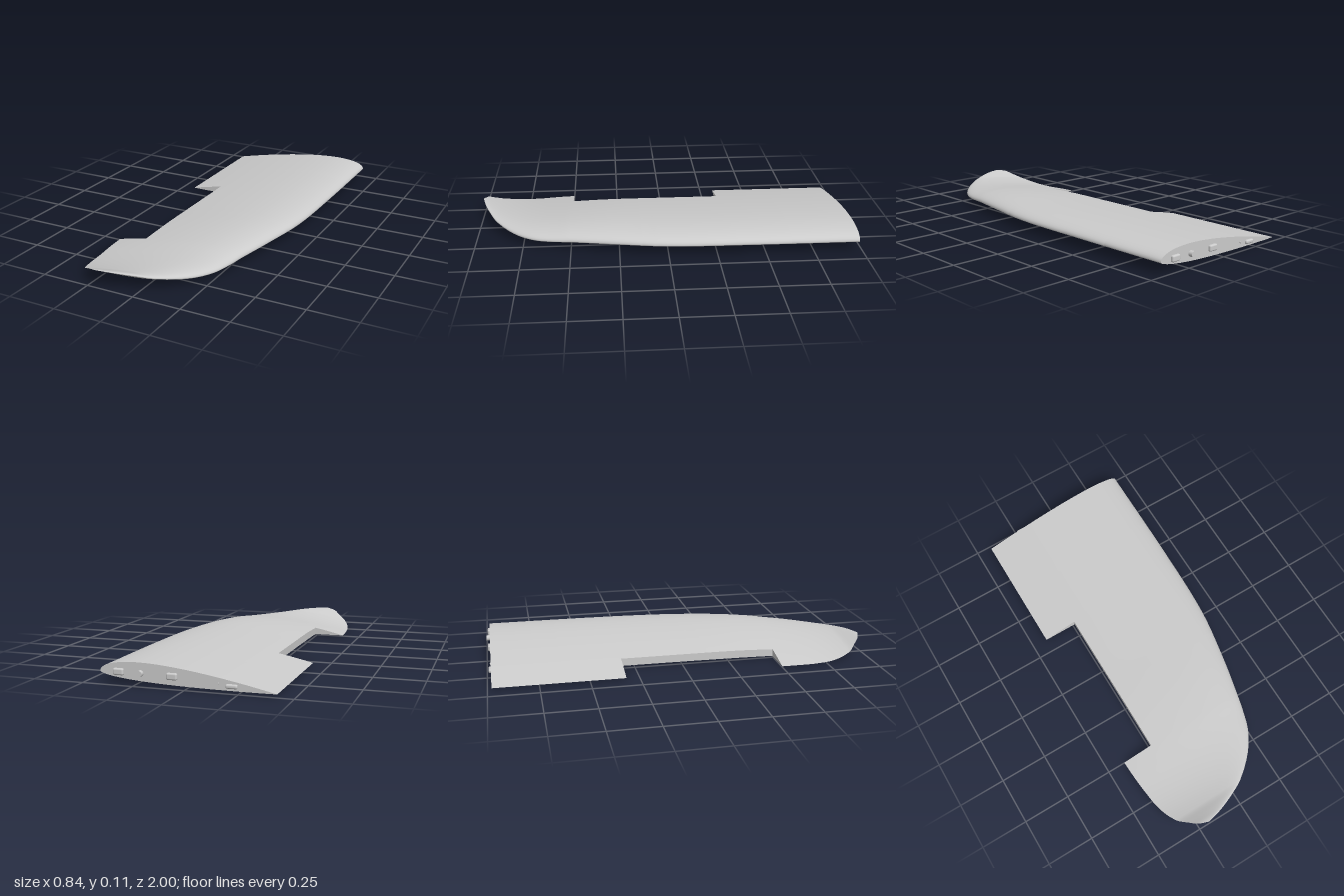
import * as THREE from 'three';
import { RoundedBoxGeometry } from 'three/addons/geometries/RoundedBoxGeometry.js';

// Ribs: z, leading edge x and y, trailing edge x and y, thickness
const RIBS = [
  [-0.98, 0.418, 0.058, -0.42, 0.01, 0.124],
  [-0.4, 0.415, 0.058, -0.42, 0.01, 0.124],
  [0, 0.4, 0.056, -0.42, 0.01, 0.124],
  [0.3, 0.35, 0.055, -0.415, 0.008, 0.122],
  [0.5, 0.305, 0.05, -0.405, 0.004, 0.11],
  [0.6, 0.28, 0.043, -0.4, 0.002, 0.1],
  [0.7, 0.245, 0.04, -0.39, 0, 0.088],
  [0.8, 0.175, 0.044, -0.375, 0.006, 0.07],
  [0.9, 0.06, 0.06, -0.335, 0.03, 0.04],
  [0.95, -0.04, 0.076, -0.285, 0.06, 0.022],
  [0.98, -0.12, 0.085, -0.25, 0.08, 0.01],
  [1, -0.2, 0.09, -0.2, 0.09, 0],
];
const CUT_X = -0.24, CUT_Z0 = -0.32, CUT_Z1 = 0.5;
// Openings in the underside: chord range and span range
const HOLES = [
  { u: [0.331, 0.459], z: [0.05, 0.13] },
  { u: [0.254, 0.285], z: [-0.625, -0.605] },
];
// Chord stations: leading edge to the notch line, then on to the trailing edge
const FRONT = [0, 0.002, 0.008, 0.02, 0.04, 0.07, 0.11, 0.16, 0.21, 0.254, 0.285, 0.331,
  0.395, 0.459, 0.55, 0.64, 0.73, 0.82, 0.91, 1];
const STATIONS = [...FRONT, 1.25, 1.5, 1.75, 2];
const CUT = FRONT.length - 1, LAST = STATIONS.length - 1;

// Smooth (cubic Hermite) interpolation of the rib table
function ribAt(z) {
  let i = 0;
  while (i < RIBS.length - 2 && z > RIBS[i + 1][0]) i++;
  const slope = (k, c) => {
    const a = RIBS[Math.max(k - 1, 0)], b = RIBS[Math.min(k + 1, RIBS.length - 1)];
    return (b[c] - a[c]) / (b[0] - a[0]);
  };
  const p = RIBS[i], q = RIBS[i + 1], h = q[0] - p[0], t = (z - p[0]) / h;
  const t2 = t * t, t3 = t2 * t;
  return [1, 2, 3, 4, 5].map(c => (2 * t3 - 3 * t2 + 1) * p[c] + (t3 - 2 * t2 + t) * h * slope(i, c)
    + (3 * t2 - 2 * t3) * q[c] + (t3 - t2) * h * slope(i + 1, c));
}

const thicknessAt = s => 5 * (0.2969 * Math.sqrt(s) - 0.126 * s - 0.3516 * s ** 2
  + 0.2843 * s ** 3 - 0.1036 * s ** 4);

// Point on the skin; side is +1 for the top and -1 for the underside
function skinPoint(z, k, side) {
  const [xL, yL, xT, yT, thick] = ribAt(z);
  const cut = z < 0.9 ? (xL - CUT_X) / (xL - xT) : 0.76;
  const u = STATIONS[k];
  const s = u <= 1 ? u * cut : cut + (u - 1) * (1 - cut);
  const t = thicknessAt(s) * thick * (side > 0 ? 1 : -0.4);
  return new THREE.Vector3(xL + (xT - xL) * s, yL + (yT - yL) * s + t, z);
}

function geometryFrom(points, index) {
  const g = new THREE.BufferGeometry().setFromPoints(points);
  g.setIndex(index);
  g.computeVertexNormals();
  return g;
}

// Flat web between two rows of points
function web(a, b) {
  const index = [], n = a.length;
  for (let i = 0; i < n - 1; i++) index.push(i, i + 1, n + i, i + 1, n + i + 1, n + i);
  return geometryFrom([...a, ...b], index);
}

export function createModel() {
  const group = new THREE.Group();
  const grey = new THREE.MeshStandardMaterial({ color: 0xcccccc });
  const sheet = new THREE.MeshStandardMaterial({ color: 0xcccccc, side: THREE.DoubleSide });
  const inner = new THREE.MeshStandardMaterial({ color: 0xcccccc, side: THREE.BackSide });
  const add = (name, geometry, material, x = 0, y = 0, z = 0) => {
    const mesh = new THREE.Mesh(geometry, material);
    mesh.name = name;
    mesh.position.set(x, y, z);
    group.add(mesh);
    return mesh;
  };

  // Span stations, closer together toward the tip
  const zs = [CUT_Z0, CUT_Z1, ...HOLES.flatMap(h => h.z)];
  for (let z = -0.98; z < 0.45; z += 0.07) zs.push(z);
  for (let z = 0.53; z < 0.89; z += 0.03) zs.push(z);
  for (let k = 0; k <= 14; k++) zs.push(1 - 0.1 * (k / 14) ** 2);
  zs.sort((a, b) => a - b);

  // Wing skin: each ring runs over the top, round the nose and back underneath
  const points = [], index = [], ring = 2 * LAST + 1;
  for (const z of zs)
    for (let j = -LAST; j <= LAST; j++) points.push(skinPoint(z, Math.abs(j), j < 0 ? 1 : -1));
  for (let i = 0; i < zs.length - 1; i++) {
    const zm = (zs[i] + zs[i + 1]) / 2;
    for (let j = 0; j < ring - 1; j++) {
      const k = j + 0.5 - LAST;
      if (Math.abs(k) > CUT && zm > CUT_Z0 && zm < CUT_Z1) continue;
      const um = (STATIONS[Math.floor(Math.abs(k))] + STATIONS[Math.ceil(Math.abs(k))]) / 2;
      if (k > 0 && HOLES.some(h => um > h.u[0] && um < h.u[1] && zm > h.z[0] && zm < h.z[1])) continue;
      const a = i * ring + j, c = a + ring;
      index.push(a, c, a + 1, a + 1, c, c + 1);
    }
  }
  add('wingSkin', geometryFrom(points, index), grey);

  // Root rib and the end walls of the aileron notch
  const rib = (name, z, from) => {
    const row = side => STATIONS.map((_, k) => k).slice(from).map(k => skinPoint(z, k, side));
    add(name, web(row(1), row(-1)), sheet);
  };
  rib('rootRib', -0.98, 0);
  rib('notchInnerWall', CUT_Z0, CUT);
  rib('notchOuterWall', CUT_Z1, CUT);

  // Rear wall of the notch
  const span = zs.filter(z => z >= CUT_Z0 && z <= CUT_Z1);
  add('notchRearWall', web(span.map(z => skinPoint(z, CUT, 1)), span.map(z => skinPoint(z, CUT, -1))), sheet);

  // Pockets behind the underside openings
  for (const { u, z } of HOLES) {
    const zc = (z[0] + z[1]) / 2;
    const [a, b] = u.map(v => skinPoint(zc, STATIONS.indexOf(v), -1));
    const floor = Math.min(a.y, b.y);
    add('undersidePocket', new THREE.BoxGeometry(a.x - b.x, 0.05, z[1] - z[0]), inner,
      (a.x + b.x) / 2, floor + 0.025, zc);
  }

  // Mounting tabs and pins on the root rib
  for (const [x, y, w, h] of [[0.325, 0.06, 0.052, 0.032], [0.065, 0.055, 0.052, 0.032], [-0.215, 0.03, 0.055, 0.02]])
    add('rootTab', new RoundedBoxGeometry(w, h, 0.03, 3, 0.008), grey, x, y, -0.978);
  for (const [x, y, r, end] of [[0.218, 0.058, 0.015, -1], [-0.15, 0.038, 0.006, -0.985]])
    add('rootPin', new THREE.CylinderGeometry(r, r, -0.97 - end, 20), grey, x, y, (end - 0.97) / 2)
      .rotation.x = Math.PI / 2;

  return group;
}
